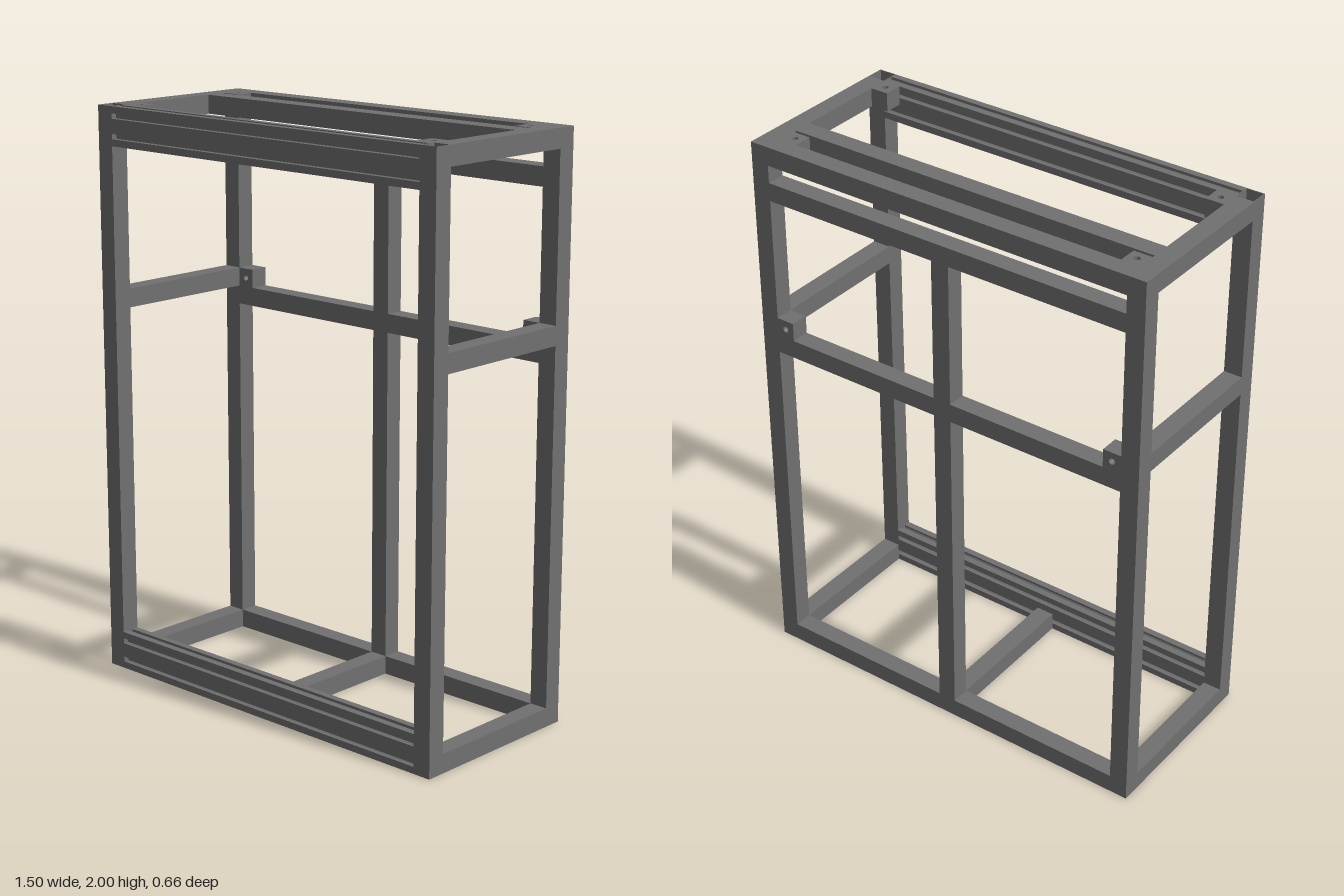
import * as THREE from 'three';

const W = 0.75, D = 0.33, H = 2, T = 0.066; // half width, half depth, height, bar thickness
const XI = W - T, ZI = D - T, h = T / 2;    // inner faces of the posts, half bar

export function createModel() {
  const model = new THREE.Group();
  const mat = new THREE.MeshStandardMaterial({ color: 0x707070, flatShading: true });

  const add = (name, geo, x = 0, y = 0, z = 0) => {
    const mesh = new THREE.Mesh(geo, mat);
    mesh.name = name;
    mesh.position.set(x, y, z);
    model.add(mesh);
    return mesh;
  };
  // solid bar given by its limits on each axis
  const bar = (name, x0, x1, y0, y1, z0, z1) =>
    add(name, new THREE.BoxGeometry(x1 - x0, y1 - y0, z1 - z0),
      (x0 + x1) / 2, (y0 + y1) / 2, (z0 + z1) / 2);

  // square section with one hole, extruded and centred along z
  const squareWithHole = (hole, depth) => {
    const shape = new THREE.Shape();
    shape.moveTo(-h, -h).lineTo(h, -h).lineTo(h, h).lineTo(-h, h).closePath();
    shape.holes.push(hole);
    const geo = new THREE.ExtrudeGeometry(shape, { depth, bevelEnabled: false, curveSegments: 10 });
    return geo.translate(0, 0, -depth / 2);
  };
  // mounting block with a round bore
  const blockGeo = squareWithHole(new THREE.Path().absarc(0, 0, 0.011, 0, Math.PI * 2, true), T);
  // thin-walled open tube for the front posts
  const q = h - 0.003;
  const tubeGeo = squareWithHole(
    new THREE.Path().moveTo(-q, -q).lineTo(-q, q).lineTo(q, q).lineTo(q, -q).closePath(), H);
  tubeGeo.rotateX(Math.PI / 2);

  for (const s of [-1, 1]) {
    // rear posts are solid, front posts are open square tubes
    bar('rearPost', s * (W - h) - h, s * (W - h) + h, 0, H, -D, -ZI);
    add('frontPost', tubeGeo, s * (W - h), H / 2, D - h);

    // side rails at bottom, middle and top
    for (const y of [0, 1.302, H - T])
      bar('sideRail', s * (W - h) - h, s * (W - h) + h, y, y + T, -ZI, ZI);

    // mounting blocks: upright on the rear middle rail, flat in the top corners
    add('middleBlock', blockGeo, s * (XI - h), 1.302 + h, -D + h);
    for (const z of [-1, 1])
      add('topBlock', blockGeo, s * (XI - h), H - h, z * (ZI - h)).rotation.x = Math.PI / 2;

    // rear middle rail, one half on each side of the centre post
    const a = s * h, b = s * XI;
    bar('rearMiddleRail', Math.min(a, b), Math.max(a, b), 1.236, 1.302, -D, -ZI);
  }

  // rear rails, inner top rail and centre bars
  bar('rearBottomRail', -XI, XI, 0, T, -D, -ZI);
  bar('rearTopRail', -XI, XI, H - T, H, -D, -ZI);
  bar('rearUpperRail', -XI, XI, 1.807, 1.872, -D, -ZI);
  bar('innerTopRail', -XI, XI, H - T, H, -0.187, -0.121);
  bar('centrePost', -h, h, T, 1.807, -D, -ZI);
  bar('bottomCentreBar', -h, h, 0, T, -ZI, ZI);

  // slotted double-height front profile, drawn in (z, y) and run along x
  const P = 0.135;
  const slot = [[-0.009, 0], [-0.009, 0.009], [-0.016, 0.009], [-0.009, 0.02],
    [0.009, 0.02], [0.016, 0.009], [0.009, 0.009], [0.009, 0]];
  const pts = [];
  // an edge from a corner along (dx, dy), with slots cut to its left
  const edge = (x, y, dx, dy, centres) => {
    pts.push(new THREE.Vector2(x, y));
    for (const c of centres)
      for (const [u, v] of slot)
        pts.push(new THREE.Vector2(x + dx * (c + u) - dy * v, y + dy * (c + u) + dx * v));
  };
  edge(-h, 0, 1, 0, [h]);
  edge(h, 0, 0, 1, [h, P - h]);
  edge(h, P, -1, 0, [h]);
  edge(-h, P, 0, -1, [h, P - h]);
  const profileGeo = new THREE.ExtrudeGeometry(new THREE.Shape(pts),
    { depth: 2 * XI, bevelEnabled: false });
  profileGeo.translate(0, 0, -XI);
  profileGeo.rotateY(Math.PI / 2);
  add('frontBottomProfile', profileGeo, 0, 0, D - h);
  add('frontTopProfile', profileGeo, 0, H - P, D - h);

  return model;
}
